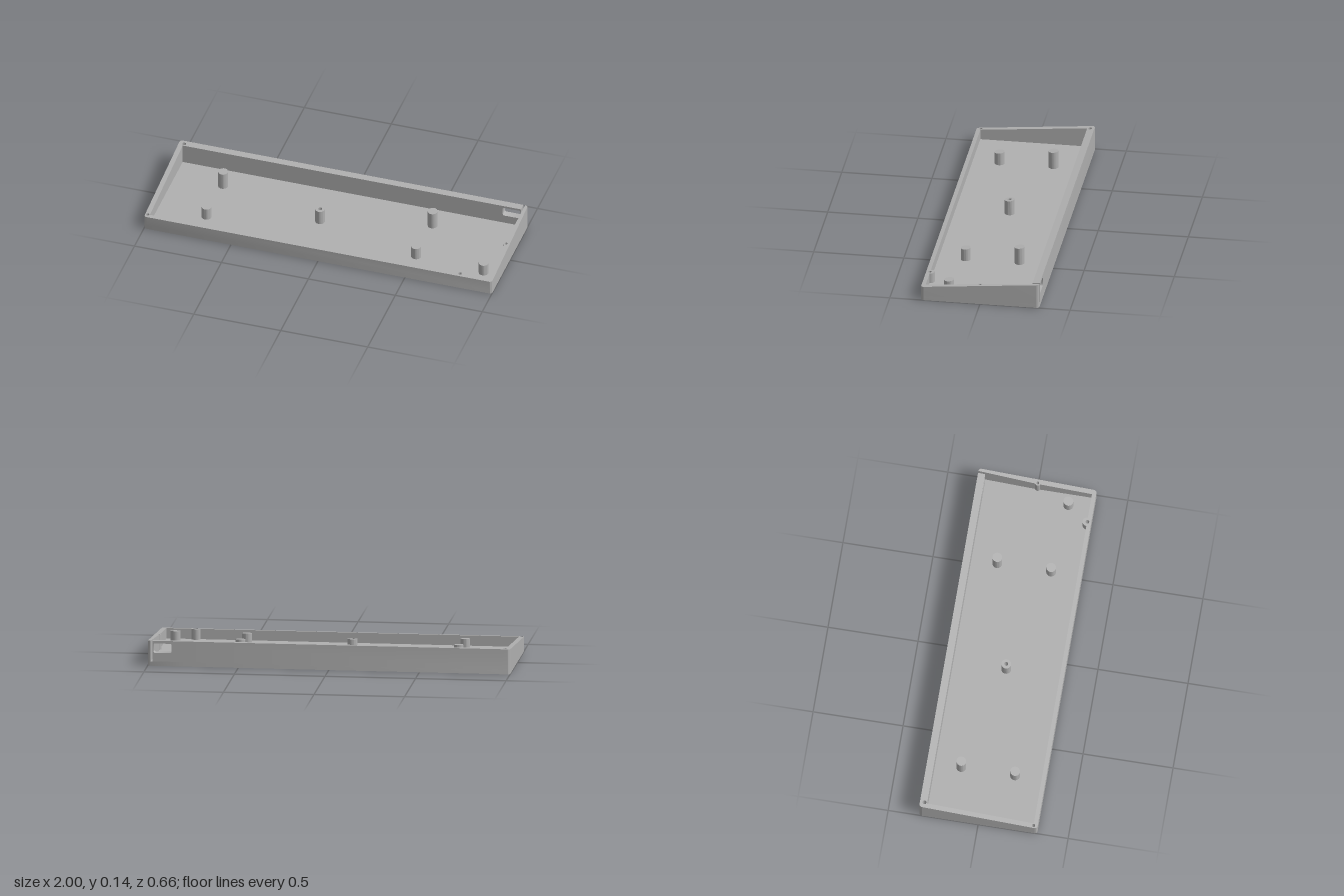
import * as THREE from 'three';
import { toCreasedNormals } from 'three/addons/utils/BufferGeometryUtils.js';

const FLOOR = 0.025, HX = 1, HZ = 0.328, R = 0.016;      // floor height, half sizes, corner radius
const IN_X = 0.973, IN_BACK = 0.288, IN_FRONT = 0.305;   // cavity limits
const PORT_X = 0.86;                                     // start of the port panel in the back wall
const slope = z => 0.11 - z * 0.0915;                    // rim plane, rising to the back

// Upright prism from a plan outline (plan y is -z), capped by the function top(z)
function prism(shape, bottom, top) {
  const geo = new THREE.ExtrudeGeometry(shape, { depth: 1, bevelEnabled: false, curveSegments: 20 });
  geo.rotateX(-Math.PI / 2);
  const p = geo.attributes.position;
  for (let i = 0; i < p.count; i++) p.setY(i, p.getY(i) > 0.5 ? top(p.getZ(i)) : bottom);
  return toCreasedNormals(geo, 0.6);
}

function circle(path, x, z, r) {
  path.absarc(x, -z, r, 0, Math.PI * 2, false);
  return path;
}

// Clockwise outer outline with rounded corners, from the back right to the back at x = endX
function outerPath(startX, endX) {
  const s = new THREE.Shape(), h = Math.PI / 2;
  s.moveTo(startX, HZ);
  s.absarc(HX - R, HZ - R, R, h, 0, true);
  s.absarc(HX - R, -HZ + R, R, 0, -h, true);
  s.absarc(-HX + R, -HZ + R, R, -h, -2 * h, true);
  s.absarc(-HX + R, HZ - R, R, 2 * h, h, true);
  s.lineTo(endX, HZ);
  return s;
}

export function createModel() {
  const group = new THREE.Group();
  const grey = new THREE.MeshStandardMaterial({ color: 0xb0b0b0 });
  grey.name = 'grey plastic';
  const add = (name, geo) => {
    const mesh = new THREE.Mesh(geo, grey);
    mesh.name = name;
    group.add(mesh);
  };

  // Floor plate
  add('floor', prism(outerPath(0.9, 0.8), 0, () => FLOOR));

  // Walls with a sloping rim and two screw bosses, open where the port panel sits
  const walls = outerPath(IN_X, PORT_X);
  walls.lineTo(PORT_X, IN_BACK);
  walls.lineTo(-IN_X, IN_BACK);
  walls.lineTo(-IN_X, -IN_FRONT);
  walls.absarc(0.81, -IN_FRONT, 0.025, Math.PI, 0, true);
  walls.lineTo(IN_X, -IN_FRONT);
  const a = Math.acos((IN_X - 0.98) / 0.016);
  walls.absarc(0.98, -0.003, 0.016, -a, a, true);
  for (const [x, z, r] of [[-0.97, -0.303, 0.011], [-0.986, 0.305, 0.009], [0.81, 0.307, 0.01], [0.979, 0.003, 0.008]])
    walls.holes.push(circle(new THREE.Path(), x, z, r));
  add('walls', prism(walls, FLOOR, slope));

  // Back wall panel with the rounded cable port
  const panel = new THREE.Shape();
  panel.moveTo(PORT_X, FLOOR);
  panel.lineTo(IN_X, FLOOR);
  panel.lineTo(IN_X, 0.14);
  panel.lineTo(PORT_X, 0.14);
  const port = new THREE.Path(), q = Math.PI / 2, c = 0.01;
  const [x0, x1, y0, y1] = [0.867, 0.969, 0.073, 0.125];
  port.absarc(x1 - c, y1 - c, c, 0, q, false);
  port.absarc(x0 + c, y1 - c, c, q, 2 * q, false);
  port.absarc(x0 + c, y0 + c, c, 2 * q, 3 * q, false);
  port.absarc(x1 - c, y0 + c, c, 3 * q, 4 * q, false);
  panel.holes.push(port);
  const panelGeo = new THREE.ExtrudeGeometry(panel, { depth: HZ - IN_BACK, bevelEnabled: false, curveSegments: 8 });
  panelGeo.translate(0, 0, -HZ);
  const p = panelGeo.attributes.position;
  for (let i = 0; i < p.count; i++) if (p.getY(i) > 0.13) p.setY(i, slope(p.getZ(i)));
  add('portPanel', toCreasedNormals(panelGeo, 0.6));

  // Support posts cut off along the rim plane; the middle one takes a screw
  const posts = [[-0.695, -0.144], [0.51, -0.144], [-0.695, 0.155], [0.51, 0.155], [0.908, 0.185]];
  for (const [x, z] of posts)
    add('supportPost', prism(circle(new THREE.Shape(), x, z, 0.027), FLOOR, slope));
  const screwPost = circle(new THREE.Shape(), -0.09, 0.005, 0.027);
  screwPost.holes.push(circle(new THREE.Path(), -0.09, 0.005, 0.011));
  add('screwPost', prism(screwPost, FLOOR, slope));

  return group;
}
